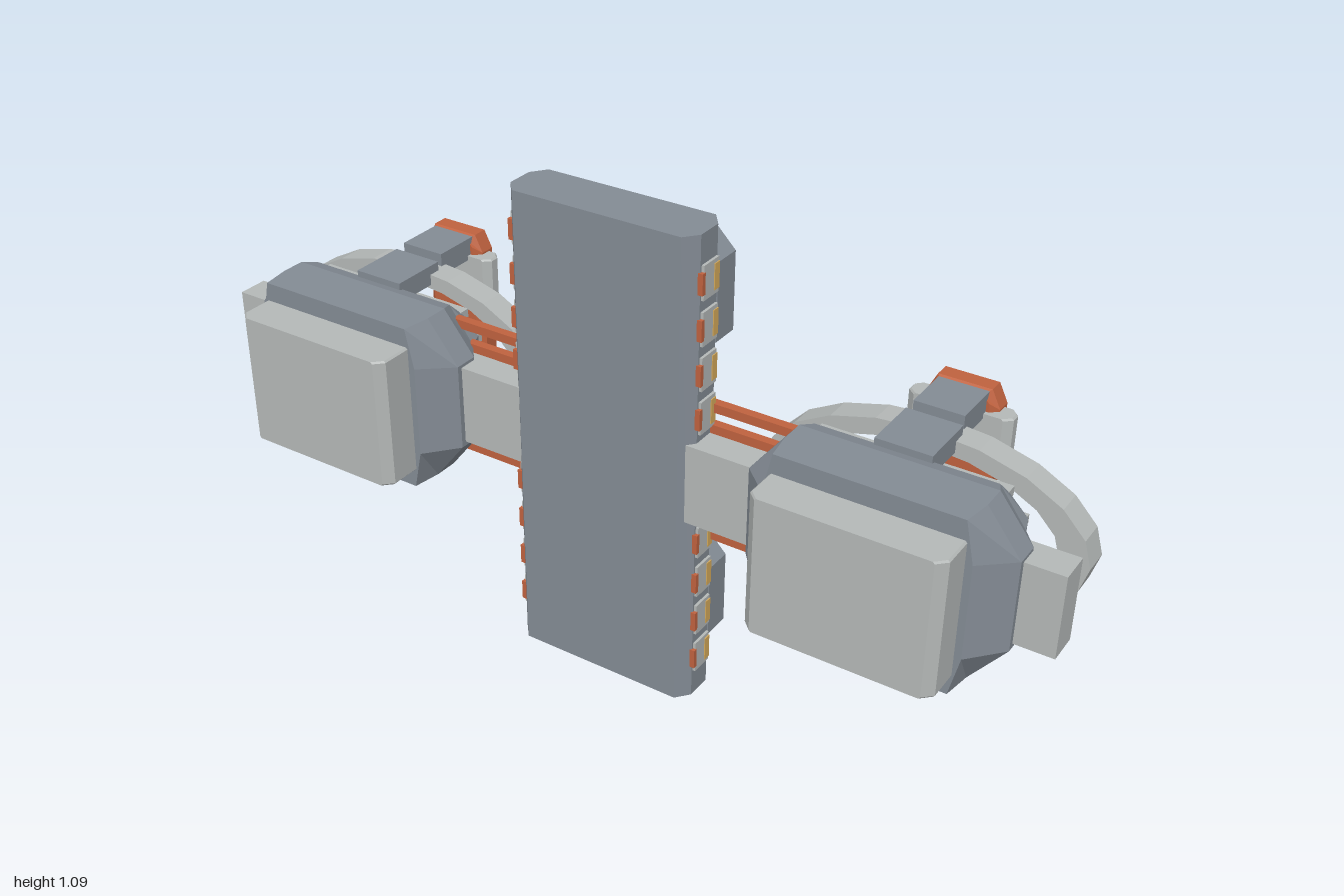
import * as THREE from 'three';

const mat = (name, color, side = THREE.FrontSide) => {
  const m = new THREE.MeshStandardMaterial({ color, side });
  m.name = name;
  return m;
};

// Octagonal cross-sections [z, halfWidth, halfHeight, cornerX, cornerY], listed front to back
function loft(sections) {
  const rings = sections.map(([z, w, h, cx, cy = cx]) => [
    [w, -h + cy, z], [w, h - cy, z], [w - cx, h, z], [-w + cx, h, z],
    [-w, h - cy, z], [-w, -h + cy, z], [-w + cx, -h, z], [w - cx, -h, z]]);
  const pos = [];
  const tri = (...points) => points.forEach((p) => pos.push(...p));
  for (let s = 0; s < rings.length - 1; s++) {
    const a = rings[s], b = rings[s + 1];
    for (let i = 0; i < 8; i++) {
      const j = (i + 1) % 8;
      tri(a[i], b[i], a[j]);
      tri(a[j], b[i], b[j]);
    }
  }
  const front = rings[0], back = rings[rings.length - 1];
  for (let i = 1; i < 7; i++) {
    tri(front[0], front[i], front[i + 1]);
    tri(back[0], back[i + 1], back[i]);
  }
  const g = new THREE.BufferGeometry();
  g.setAttribute('position', new THREE.Float32BufferAttribute(pos, 3));
  g.computeVertexNormals();
  return g;
}

export function createModel() {
  const hull = mat('blue grey hull', 0x848c95);
  const light = mat('light grey panel', 0xb5b9b8);
  const orange = mat('burnt orange', 0xc0623f);
  const yellow = mat('amber window', 0xd6ab5c);
  const teal = mat('teal display', 0x3e9db0);
  const model = new THREE.Group();

  const add = (parent, name, geometry, material, x = 0, y = 0, z = 0) => {
    const m = new THREE.Mesh(geometry, material);
    m.name = name;
    m.position.set(x, y, z);
    parent.add(m);
    return m;
  };
  // Box given by its limits on each axis
  const box = (parent, name, material, [x0, x1], [y0, y1], [z0, z1]) =>
    add(parent, name, new THREE.BoxGeometry(x1 - x0, y1 - y0, z1 - z0), material,
      (x0 + x1) / 2, (y0 + y1) / 2, (z0 + z1) / 2);

  const midY = 0.545;

  // Central spine: chamfered column with a thin back plate
  const outline = new THREE.Shape([[-0.195, -0.13], [0.195, -0.13], [0.22, -0.1], [0.22, -0.04],
    [0.195, -0.007], [-0.195, -0.007], [-0.22, -0.04], [-0.22, -0.1]].map((p) => new THREE.Vector2(...p)));
  const spine = new THREE.ExtrudeGeometry(outline, { depth: 1.09, bevelEnabled: false });
  spine.rotateX(-Math.PI / 2);
  add(model, 'spine', spine, hull);
  box(model, 'spineBackPlate', light, [-0.14, 0.14], [0.012, 0.3], [0, 0.01]);
  box(model, 'spineBackPlate', light, [-0.14, 0.14], [0.79, 1.078], [0, 0.01]);

  // Rows of side windows
  for (const s of [-1, 1]) {
    for (let i = 0; i < 10; i++) {
      const y = 0.101 + i * 0.0987;
      const w = new THREE.Group();
      w.name = 'sideWindow';
      w.position.set(s * 0.22, y, 0);
      model.add(w);
      box(w, 'windowFrame', light, [-0.006, 0.006], [-0.037, 0.037], [0.043, 0.096]);
      box(w, 'windowPane', yellow, [-0.008, 0.008], [-0.028, 0.028], [0.043, 0.06]);
      box(w, 'windowMarker', orange, [-0.008, 0.008], [-0.023, 0.023], [0.094, 0.104]);
    }
  }

  // Vent housings and orange covers on the back of the spine
  const ventShape = loft([[0.007, 0.203, 0.137, 0.05], [-0.058, 0.203, 0.137, 0.05], [-0.08, 0.17, 0.11, 0.04]]);
  const slab = loft([[-0.08, 0.15, 0.086, 0.012], [-0.112, 0.15, 0.086, 0.012]]);
  const cover = loft([[0.007, 0.15, 0.063, 0.006], [-0.022, 0.15, 0.063, 0.006], [-0.032, 0.14, 0.053, 0.006]]);
  for (const s of [-1, 1]) {
    const vent = new THREE.Group();
    vent.name = 'ventModule';
    vent.position.y = midY + s * 0.36;
    model.add(vent);
    add(vent, 'ventHousing', ventShape, hull);
    add(vent, 'ventSlab', slab, light);
    for (let i = 0; i < 4; i++) {
      const y = (i - 1.5) * 0.038;
      box(vent, 'ventGroove', hull, [-0.115, 0.115], [y - 0.013, y - 0.006], [-0.114, -0.11]);
      box(vent, 'ventSlat', light, [-0.115, 0.115], [y - 0.006, y + 0.009], [-0.118, -0.11]);
    }
    add(model, 'backCover', cover, orange, 0, midY + s * 0.172, 0);
  }

  // Shared shapes of the two side pods
  const podShape = loft([[0.195, 0.215, 0.195, 0.02, 0.09], [0.13, 0.28, 0.195, 0.075, 0.095],
    [0.075, 0.28, 0.195, 0.075, 0.095], [0.04, 0.25, 0.185, 0.06, 0.08], [0.008, 0.24, 0.15, 0.04]]);
  const frontPlate = loft([[0.285, 0.18, 0.152, 0.004], [0.265, 0.2, 0.152, 0.004], [0.19, 0.2, 0.152, 0.004]]);
  const handle = loft([[-0.205, 0.06, 0.205, 0.015], [-0.22, 0.078, 0.215, 0.02, 0.04],
    [-0.255, 0.078, 0.215, 0.02, 0.04], [-0.284, 0.055, 0.12, 0.01]]);
  const clamp = loft([[-0.195, 0.095, 0.053, 0.004], [-0.21, 0.112, 0.053, 0.004],
    [-0.23, 0.112, 0.053, 0.004], [-0.243, 0.1, 0.053, 0.004]]);
  const ellipse = (rx, ry) => Array.from({ length: 20 }, (_, i) => {
    const a = (i / 20) * Math.PI * 2;
    return new THREE.Vector2(Math.cos(a) * rx, Math.sin(a) * ry);
  });
  const ringOutline = new THREE.Shape(ellipse(0.35, 0.187));
  ringOutline.holes.push(new THREE.Path(ellipse(0.288, 0.152)));
  const ring = new THREE.ExtrudeGeometry(ringOutline, { depth: 0.06, bevelEnabled: false });
  const armClamp = loft([[0.05, 0.09, 0.053, 0.006], [-0.02, 0.09, 0.053, 0.006], [-0.032, 0.07, 0.053, 0.006]]);

  for (const s of [-1, 1]) {
    const pod = new THREE.Group();
    pod.name = s > 0 ? 'leftPod' : 'rightPod';
    pod.position.set(s * 0.637, midY, 0);
    model.add(pod);
    add(pod, 'podBody', podShape, hull);
    add(pod, 'podFrontPlate', frontPlate, light);

    // Louvres on the pod back
    for (let i = -3; i <= 3; i++) {
      const w = Math.abs(i) === 3 ? 0.2 : 0.235;
      box(pod, 'podLouvre', light, [-w, w], [i * 0.049 - 0.01, i * 0.049 + 0.01], [-0.01, 0.017]);
    }

    // Elliptical ring held by brackets, with a grip behind it
    add(pod, 'ring', ring, light, 0, 0, -0.115);
    for (const t of [-1, 1]) {
      box(pod, 'innerBracket', hull, [-0.06, 0.06], [t * 0.18 - 0.023, t * 0.18 + 0.023], [-0.083, 0.05]);
      box(pod, 'outerBracket', hull, [-0.054, 0.054], [t * 0.186 - 0.026, t * 0.186 + 0.026], [-0.215, -0.102]);
    }
    add(pod, 'grip', handle, orange);
    add(pod, 'gripClamp', clamp, light, 0, 0.118, 0);
    box(pod, 'gripDisplay', teal, [-0.03, 0.03], [-0.035, 0.035], [-0.286, -0.282]);

    // Arm through the pod, its clamp and the four rods
    const span = (a, b) => (s > 0 ? [a, b] : [-b, -a]);
    box(model, 'arm', light, span(0.2, 1), [0.455, 0.638], [0.047, 0.118]);
    add(model, 'armClamp', armClamp, light, s * 0.338, midY, 0);
    for (const dy of [-0.152, -0.103, 0.103, 0.152]) {
      box(model, 'rod', orange, span(0.19, 0.43), [midY + dy - 0.01, midY + dy + 0.01], [0.03, 0.05]);
    }
  }
  // Centre the depth on z = 0
  return model;
}
